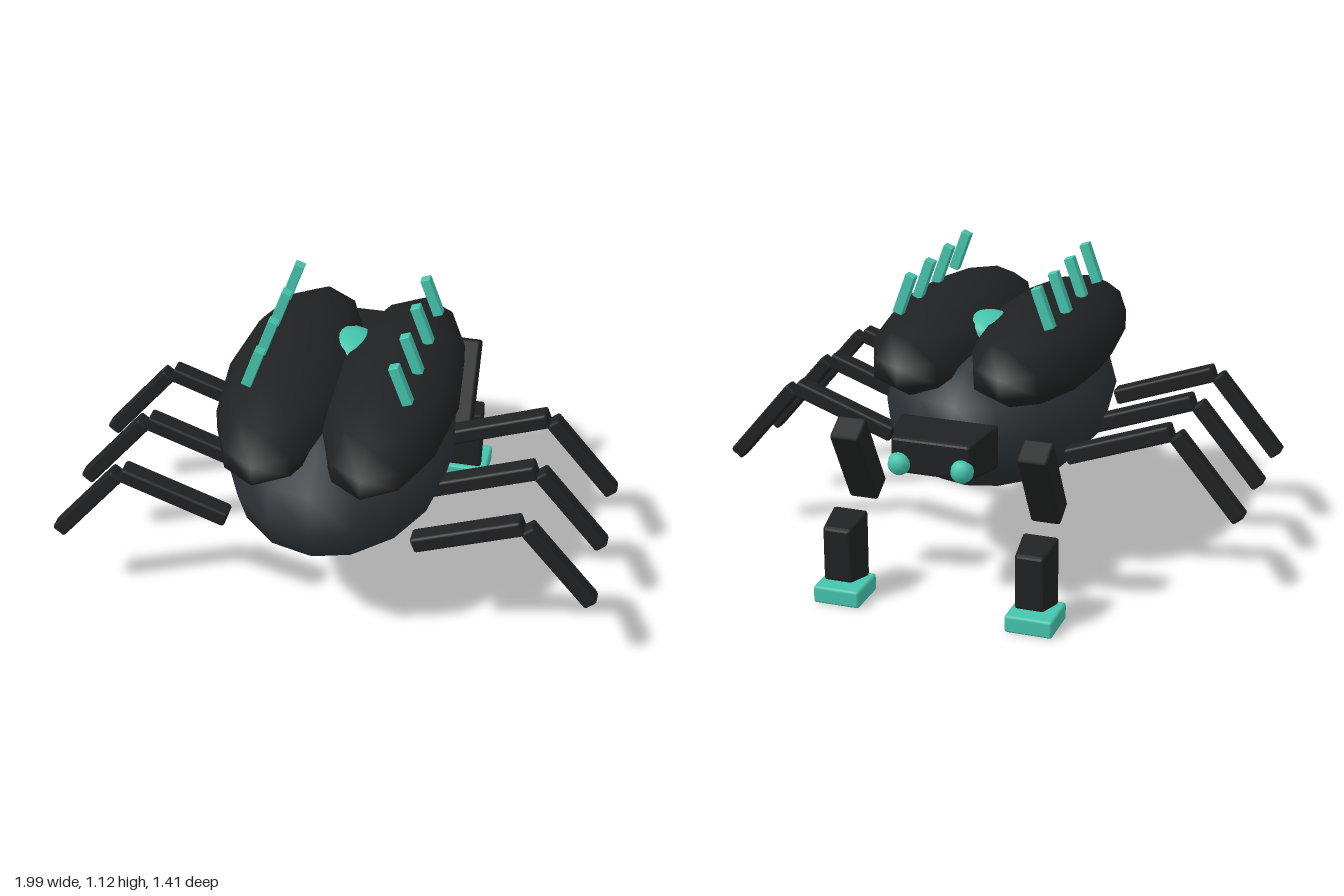
import * as THREE from 'three';
import { RoundedBoxGeometry } from 'three/addons/geometries/RoundedBoxGeometry.js';

const paint = (color) => new THREE.MeshStandardMaterial({ color });

export function createModel() {
  const model = new THREE.Group();
  model.name = 'beetle';
  const dark = paint(0x202122);
  const body = paint(0x2c3135);
  const teal = paint(0x45c4ac);

  function add(name, geometry, material, x, y, z, rx = 0, rz = 0) {
    const mesh = new THREE.Mesh(geometry, material);
    mesh.name = name;
    mesh.position.set(x, y, z);
    mesh.rotation.set(rx, 0, rz);
    model.add(mesh);
    return mesh;
  }

  // Smooth low-poly ellipsoid with real radii
  const ellipsoid = (rx, ry, rz, w, h) => new THREE.SphereGeometry(1, w, h).scale(rx, ry, rz);

  // Box with small bevelled edges
  const box = (w, h, d, bevel = 0.01) => new RoundedBoxGeometry(w, h, d, 1, bevel);

  // Bevelled box that narrows towards -z
  function taperedBox(w, h, d, k) {
    const g = box(w, h, d, 0.012);
    const p = g.attributes.position;
    for (let i = 0; i < p.count; i++) {
      const s = THREE.MathUtils.lerp(k, 1, p.getZ(i) / d + 0.5);
      p.setXY(i, p.getX(i) * s, p.getY(i) * s);
    }
    g.computeVertexNormals();
    return g;
  }

  // Body, jewel between the wing cases, and head
  add('abdomen', ellipsoid(0.41, 0.318, 0.59, 16, 8), body, 0, 0.592, 0.11);
  add('backJewel', ellipsoid(0.1, 0.06, 0.11, 12, 8), teal, 0, 0.89, -0.05);
  add('head', taperedBox(0.37, 0.165, 0.19, 0.78), dark, 0, 0.605, -0.57);

  const wingCase = ellipsoid(0.24, 0.165, 0.615, 12, 7);
  const eye = ellipsoid(0.042, 0.042, 0.042, 10, 8);
  const spine = box(0.037, 0.155, 0.037, 0.003);
  const upperLeg = box(0.41, 0.06, 0.07);
  const lowerLeg = box(0.38, 0.055, 0.065);
  const thigh = box(0.11, 0.345, 0.1);
  const shin = taperedBox(0.135, 0.26, 0.14, 0.78);
  const foot = box(0.175, 0.065, 0.175);
  const deg = THREE.MathUtils.degToRad;

  for (const [side, s] of [['left', 1], ['right', -1]]) {
    add(side + 'WingCase', wingCase, dark, s * 0.188, 0.82, 0.105);
    add(side + 'Eye', eye, teal, s * 0.115, 0.576, -0.662);

    // Row of spines leaning inwards
    for (const z of [0.37, 0.175, -0.022, -0.218]) {
      add(side + 'Spine', spine, teal, s * 0.26, 1.04, z, 0, s * deg(20));
    }

    // Three jointed side legs
    for (const z of [0.5, 0.173, -0.155]) {
      add(side + 'UpperLeg', upperLeg, dark, s * 0.53, 0.542, z, 0, s * deg(20));
      add(side + 'LowerLeg', lowerLeg, dark, s * 0.858, 0.458, z, 0, -s * deg(50));
    }

    // Heavy front leg with a separate shin and foot
    add(side + 'FrontThigh', thigh, dark, s * 0.345, 0.495, -0.482, deg(-30));
    add(side + 'FrontShin', shin, dark, s * 0.358, 0.19, -0.597);
    add(side + 'FrontFoot', foot, teal, s * 0.36, 0.0325, -0.597);
  }
  return model;
}
